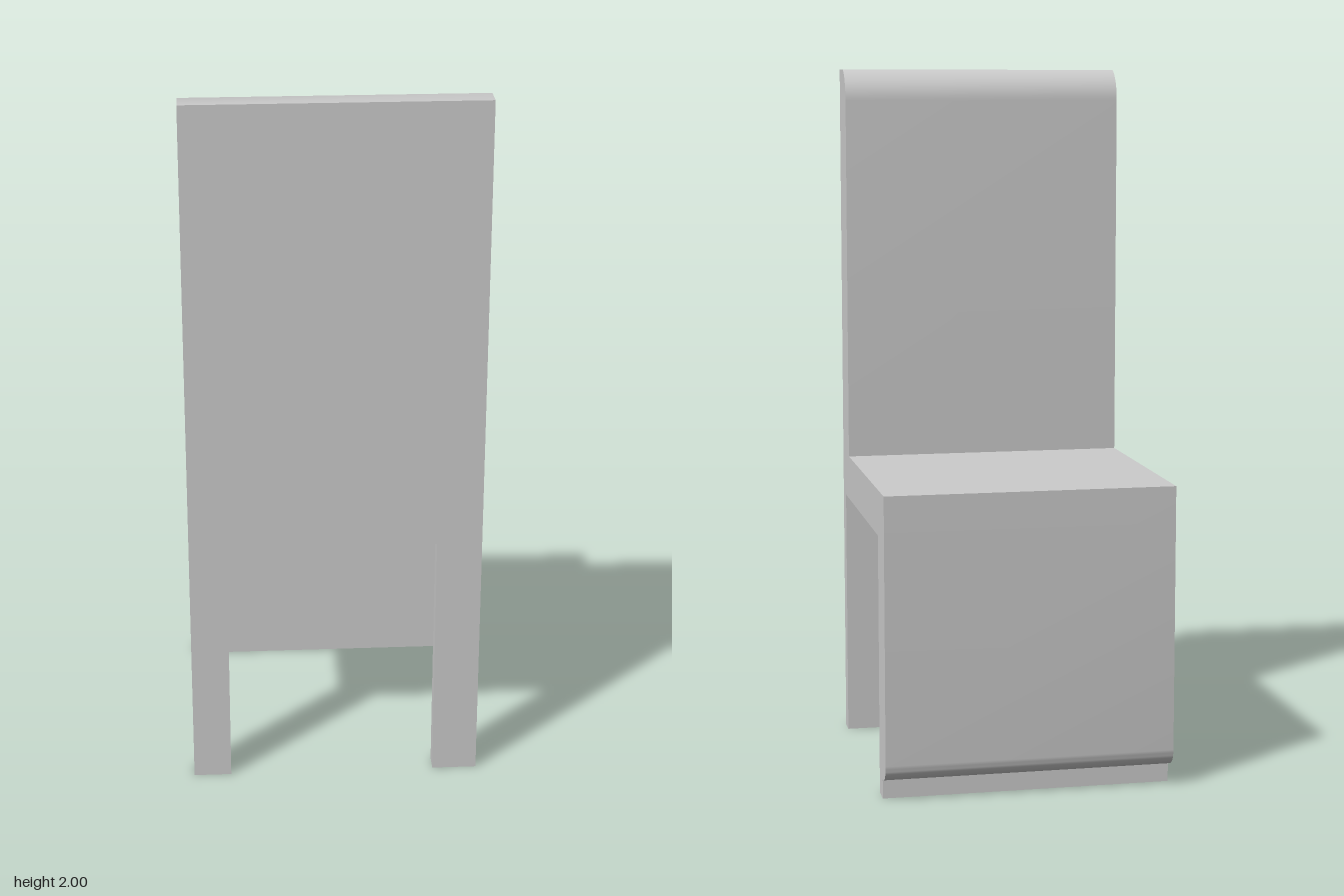
import * as THREE from 'three';
import { toCreasedNormals } from 'three/addons/utils/BufferGeometryUtils.js';

const W = 0.816, H = W / 2;
const material = new THREE.MeshStandardMaterial({ color: 0xcccccc, side: THREE.DoubleSide });

// Hollow box between two corners, open at the top and bottom
function hollowBox(name, x0, x1, y0, y1, z0, z1) {
  const geo = new THREE.BoxGeometry(x1 - x0, y1 - y0, z1 - z0);
  const index = Array.from(geo.index.array);
  index.splice(12, 12);
  geo.setIndex(index);
  geo.clearGroups();
  const mesh = new THREE.Mesh(geo, material);
  mesh.name = name;
  mesh.position.set((x0 + x1) / 2, (y0 + y1) / 2, (z0 + z1) / 2);
  return mesh;
}

export function createModel() {
  const group = new THREE.Group();
  group.name = 'chair';

  // Side profile (z, y): tall back, seat and front panel in one slab
  const profile = new THREE.Shape();
  profile.moveTo(H, 0.73);
  profile.lineTo(H, 2);
  profile.lineTo(0.34, 2);
  profile.bezierCurveTo(0.31, 1.99, 0.284, 1.955, 0.284, 1.91);
  profile.lineTo(0.284, 0.858);
  profile.lineTo(-H, 0.858);
  profile.lineTo(-H, 0.107);
  profile.bezierCurveTo(-H, 0.077, -0.385, 0.055, -0.352, 0.055);
  profile.lineTo(-0.297, 0.055);
  profile.lineTo(-0.297, 0.73);
  profile.closePath();
  const bodyGeo = new THREE.ExtrudeGeometry(profile, { depth: W, bevelEnabled: false, curveSegments: 10 });
  bodyGeo.translate(0, 0, -H);
  bodyGeo.rotateY(-Math.PI / 2);
  const body = new THREE.Mesh(toCreasedNormals(bodyGeo, 0.5), material);
  body.name = 'backSeatAndPanel';
  group.add(body);

  // Foot strip under the panel, and two legs below the back
  group.add(hollowBox('panelFoot', -H, H, 0, 0.055, -0.352, -0.297));
  group.add(hollowBox('rightLeg', -H, -0.302, 0, 0.73, 0.357, H));
  group.add(hollowBox('leftLeg', 0.282, H, 0, 0.73, 0.357, H));

  return group;
}
